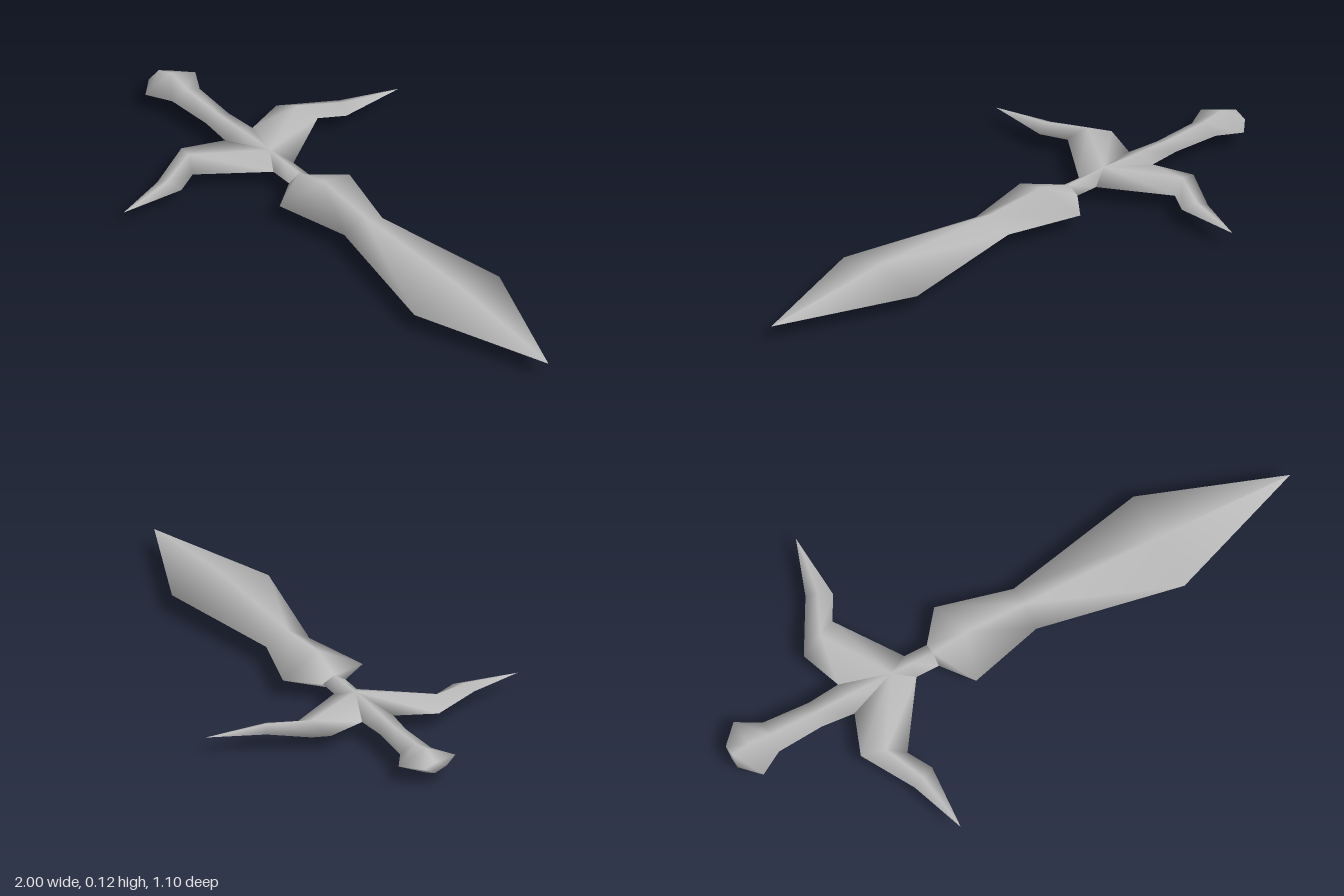
import * as THREE from 'three';

const MID = 0.06; // height of the cutting edge plane

// Loft of diamond sections; each section is [edgeA [x,z], ridge [x,z], edgeB [x,z], half thickness]
function loft(sections, material, name, capStart) {
  const pos = [], idx = [];
  for (const [a, r, b, h] of sections) {
    pos.push(a[0], MID, a[1], r[0], MID + h, r[1], b[0], MID, b[1], r[0], MID - h, r[1]);
  }
  for (let s = 0; s < sections.length - 1; s++) {
    const tip = sections[s + 1][3] === 0;
    for (let k = 0; k < 4; k++) {
      const a = s * 4 + k, b = s * 4 + (k + 1) % 4;
      idx.push(a, a + 4, b);
      if (!tip) idx.push(b, a + 4, b + 4);
    }
  }
  if (capStart) idx.push(0, 1, 2, 0, 2, 3);
  const geo = new THREE.BufferGeometry();
  geo.setAttribute('position', new THREE.Float32BufferAttribute(pos, 3));
  geo.setIndex(idx);
  geo.computeVertexNormals();
  const mesh = new THREE.Mesh(geo, material);
  mesh.name = name;
  return mesh;
}

// Symmetric section across the sword axis: x, half width, half thickness, ridge x
const across = ([x, w, h, rx = x]) => [[x, w], [rx, 0], [x, -w], h];

export function createModel() {
  const group = new THREE.Group();
  group.name = 'sword';
  const steel = new THREE.MeshStandardMaterial({ color: 0xbcbcbc });
  steel.name = 'steel grey';

  // Pommel and grip
  const grip = [
    [-1, 0.04, 0.018], [-0.94, 0.1, 0.042], [-0.86, 0.055, 0.027],
    [-0.7, 0.045, 0.02], [-0.59, 0.055, 0.024], [-0.43, 0.045, 0.03],
    [-0.36, 0.04, 0.026], [-0.28, 0.04, 0.023],
  ];
  group.add(loft(grip.map(across), steel, 'pommelAndGrip', true));

  // Leaf shaped blade
  const blade = [
    [-0.28, 0.04, 0.023], [-0.2, 0.14, 0.06, -0.16], [0.05, 0.076, 0.044],
    [0.53, 0.17, 0.045], [1, 0, 0],
  ];
  group.add(loft(blade.map(across), steel, 'blade', false));

  // Hooked guard arms, mirrored across the axis
  const arm = [
    [[-0.59, 0.055], [-0.43, 0], [-0.36, 0.04], 0.03],
    [[-0.64, 0.19], [-0.565, 0.22], [-0.505, 0.25], 0.03],
    [[-0.54, 0.365], [-0.505, 0.35], [-0.46, 0.33], 0.018],
    [[-0.475, 0.55], [-0.475, 0.55], [-0.475, 0.55], 0],
  ];
  const flip = ([x, z]) => [x, -z];
  group.add(loft(arm, steel, 'guardArmFront', false));
  group.add(loft(arm.map(([a, r, b, h]) => [flip(b), flip(r), flip(a), h]), steel, 'guardArmBack', false));

  return group;
}
